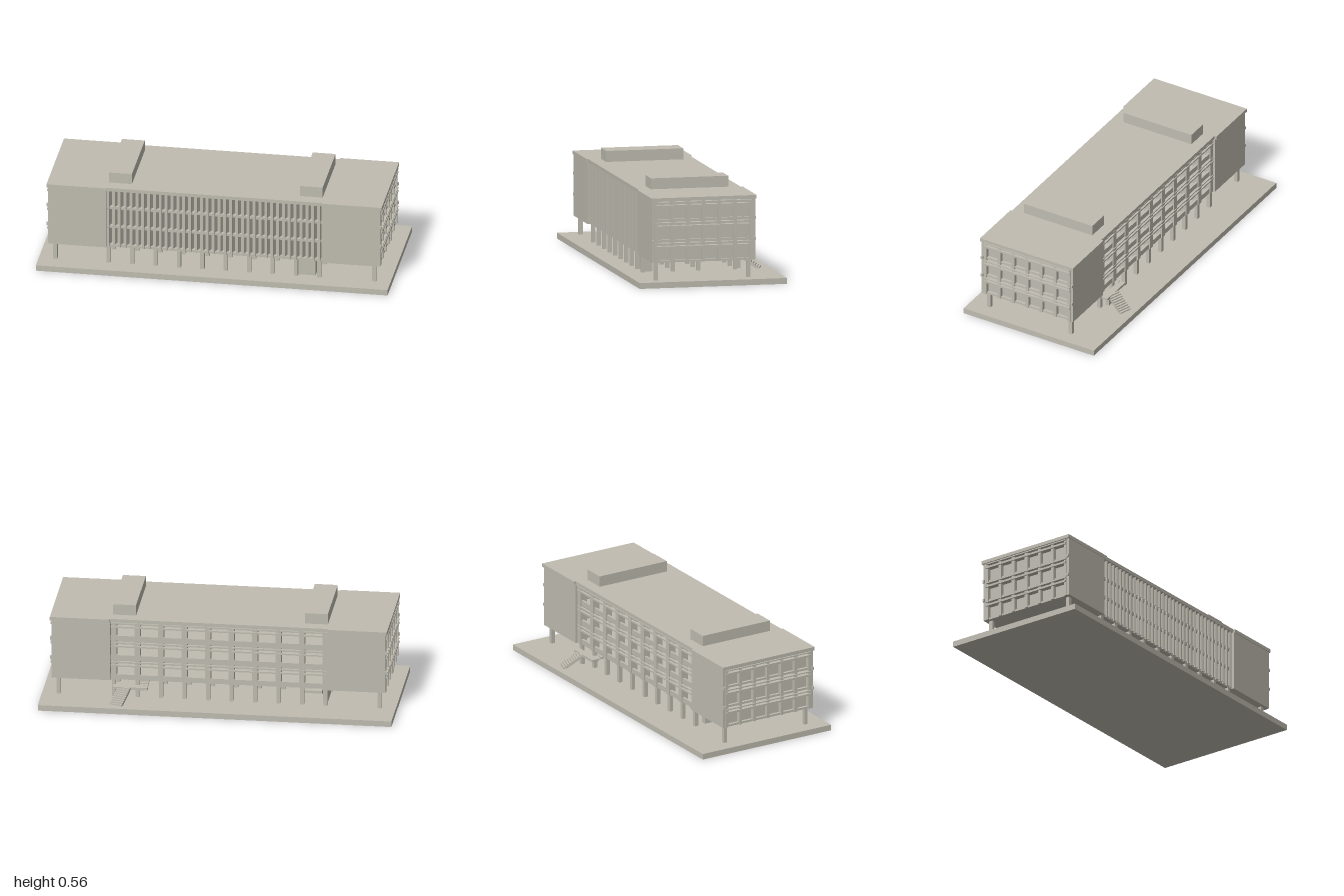
import * as THREE from 'three';

const concrete = new THREE.MeshStandardMaterial({ color: 0xc0bcb1 });
concrete.name = 'concrete';

// Box given by its extents on each axis
function block(parent, name, x0, x1, y0, y1, z0, z1) {
  const mesh = new THREE.Mesh(new THREE.BoxGeometry(x1 - x0, y1 - y0, z1 - z0), concrete);
  mesh.position.set((x0 + x1) / 2, (y0 + y1) / 2, (z0 + z1) / 2);
  mesh.name = name;
  parent.add(mesh);
  return mesh;
}

function group(parent, name) {
  const g = new THREE.Group();
  g.name = name;
  parent.add(g);
  return g;
}

// Stepped flight: side profile runs from (0, top) down along +x, then is turned so it runs along -z
function flight(parent, name, width, length, top, bottom, steps) {
  const rise = (top - bottom) / steps, run = length / steps;
  const s = new THREE.Shape();
  s.moveTo(0, top);
  for (let i = 0; i < steps; i++) {
    s.lineTo((i + 1) * run, top - i * rise);
    s.lineTo((i + 1) * run, top - (i + 1) * rise);
  }
  s.lineTo(length - run * 1.6, bottom);
  s.lineTo(0, top - rise * 1.7);
  s.closePath();
  const geo = new THREE.ExtrudeGeometry(s, { depth: width, bevelEnabled: false });
  geo.translate(0, 0, -width / 2);
  geo.rotateY(Math.PI / 2);
  const mesh = new THREE.Mesh(geo, concrete);
  mesh.name = name;
  parent.add(mesh);
  return mesh;
}

export function createModel() {
  const model = new THREE.Group();
  model.name = 'officeBuilding';
  const ground = 0.033, floors = [0.135, 0.251, 0.368], storey = 0.117;
  const bay = 0.133, firstBay = -0.603;

  block(model, 'plinth', -1, 1, 0, ground, -0.425, 0.425);

  // Roof slabs and rooftop plant rooms
  const roof = group(model, 'roof');
  block(roof, 'middleRoof', -0.62, 0.62, 0.483, 0.503, -0.248, 0.337);
  for (const s of [-1, 1]) {
    const x = s * 0.785;
    block(roof, 'wingRoof', x - 0.168, x + 0.168, 0.483, 0.503, -0.261, 0.346);
  }
  block(roof, 'plantRoom', -0.61, -0.48, 0.503, 0.565, -0.18, 0.265);
  block(roof, 'plantRoom', 0.475, 0.605, 0.503, 0.565, -0.18, 0.265);

  // Solid wings with framed end facades, built for +x and turned round for -x
  for (const s of [-1, 1]) {
    const wing = group(model, s > 0 ? 'leftWing' : 'rightWing');
    const b = (name, x0, x1, ...rest) =>
      s > 0 ? block(wing, name, x0, x1, ...rest) : block(wing, name, -x1, -x0, ...rest);
    b('wingCore', 0.612, 0.922, 0.135, 0.484, -0.24, 0.328);
    b('frontWall', 0.612, 0.943, 0.135, 0.484, 0.328, 0.342);
    b('backWall', 0.612, 0.943, 0.135, 0.484, -0.255, -0.24);
    for (let i = 0; i < 7; i++) {
      const z = 0.317 - i * 0.0912;
      b('mullion', 0.92, 0.946, 0.135, 0.484, z - 0.009, z + 0.009);
    }
    for (const y of floors) {
      b('floorEdge', 0.92, 0.938, y, y + 0.012, -0.24, 0.328);
      b('upperSunRail', 0.92, 0.953, y + 0.104, y + 0.111, -0.235, 0.322);
      b('lowerSunRail', 0.92, 0.953, y + 0.081, y + 0.093, -0.235, 0.322);
      if (y > 0.2) for (const z of [-0.25, 0.336])
        b('cornerBracket', 0.935, 0.953, y - 0.002, y + 0.015, z - 0.006, z + 0.006);
    }
  }

  // Middle block: floor slabs open to the back as deep loggias
  const middle = group(model, 'middleBlock');
  block(middle, 'spineWall', -0.612, 0.612, 0.135, 0.484, -0.03, -0.01);
  block(middle, 'frontWall', -0.612, 0.612, 0.135, 0.484, 0.285, 0.297);
  for (const y of floors) {
    block(middle, 'floorSlab', -0.612, 0.612, y, y + 0.014, -0.235, 0.325);
    block(middle, 'spandrel', -0.612, 0.612, y, y + 0.03, -0.235, -0.222);
    block(middle, 'upperSunRail', -0.61, 0.61, y + 0.104, y + 0.111, -0.246, -0.232);
    block(middle, 'lowerSunRail', -0.61, 0.61, y + 0.081, y + 0.09, -0.246, -0.232);
  }
  for (let i = 0; i < 10; i++) {
    const x = firstBay + i * bay;
    block(middle, 'backPier', x - 0.016, x + 0.016, 0.135, 0.484, -0.242, -0.2);
  }

  // Slanted sun fins on the front, one row for each storey
  const fins = group(model, 'sunFins');
  for (const y of floors) {
    for (let i = 0; i < 37; i++) {
      const x = -0.6 + i * (1.2 / 36);
      const fin = block(fins, 'fin', x - 0.004, x + 0.004, y + 0.012, y + storey - 0.004, 0.296, 0.333);
      fin.rotation.y = -0.45;
    }
  }
  for (let i = 0; i < 37; i++) {
    const x = -0.6 + i * (1.2 / 36);
    block(fins, 'finPost', x - 0.008, x + 0.001, 0.137, 0.484, 0.322, 0.334);
  }

  // Columns that lift the building off the plinth
  const columns = group(model, 'columns');
  const column = (x, z) =>
    block(columns, 'column', x - 0.011, x + 0.011, ground, 0.136, z - 0.011, z + 0.011);
  for (const z of [0.311, 0.137, -0.01, -0.223]) {
    for (let i = 0; i < 10; i++) column(firstBay + i * bay, z);
  }
  for (const x of [-0.907, 0.907]) for (const z of [0.311, -0.223]) column(x, z);

  // Ground level rooms
  block(model, 'entranceRoom', 0.475, 0.57, ground, 0.136, 0.25, 0.3);
  block(model, 'stairWall', -0.61, -0.58, ground, 0.136, -0.165, -0.04);

  // Stair with a half landing under the right side
  const innerStair = group(model, 'innerStair');
  flight(innerStair, 'upperFlight', 0.05, 0.085, 0.136, 0.092, 5).position.set(-0.48, 0, -0.05);
  block(innerStair, 'landing', -0.575, -0.455, 0.078, 0.093, -0.167, -0.13);
  const lower = flight(innerStair, 'lowerFlight', 0.05, 0.1, 0.093, ground, 7);
  lower.position.set(-0.548, 0, -0.13);
  lower.rotation.y = Math.PI;

  // Back stair: inner flight, platform and turned outer flight
  const backStair = group(model, 'backStair');
  flight(backStair, 'innerFlight', 0.05, 0.14, 0.136, 0.1, 6).position.set(0.425, 0, -0.1);
  block(backStair, 'platform', 0.4, 0.597, 0.091, 0.105, -0.275, -0.235);
  block(backStair, 'platformPost', 0.535, 0.56, ground, 0.092, -0.262, -0.24);
  const outer = flight(backStair, 'outerFlight', 0.075, 0.11, 0.105, ground, 9);
  outer.position.set(0.529, 0, -0.27);
  outer.rotation.y = -0.34;

  return model;
}
